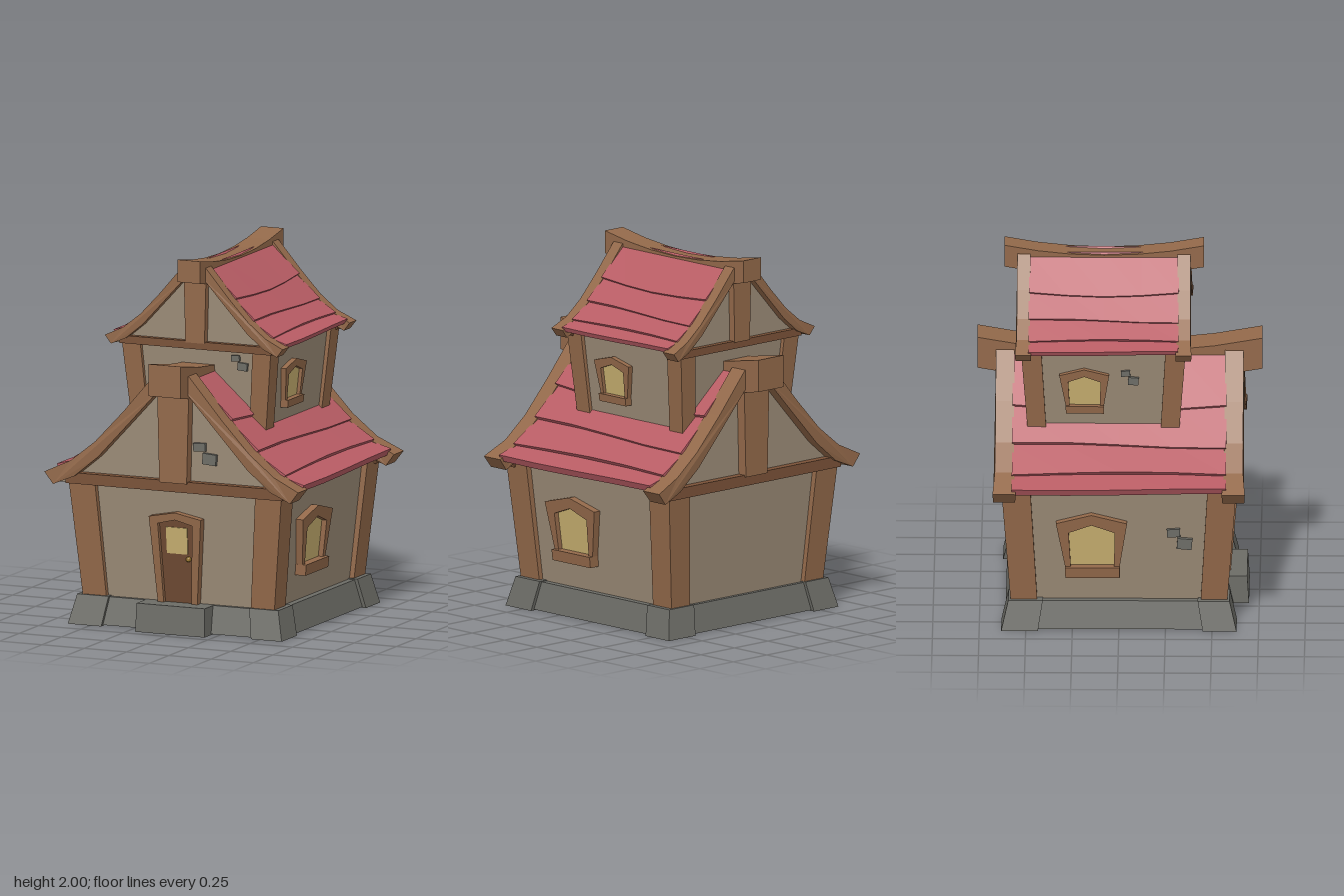
import * as THREE from 'three';

const mat = (color, side = THREE.FrontSide) => new THREE.MeshStandardMaterial({ color, side, flatShading: true });
const WOOD = mat(0x93694a), DARK = mat(0x7a5238), DOOR = mat(0x6e4a32), STONE = mat(0x6c6c66);
const PLASTER = mat(0x9a8a76, THREE.DoubleSide), TILE = mat(0xb85c64), GLASS = mat(0xc8b070), BRASS = mat(0xb08a3a);

function add(parent, name, geo, material) {
  const mesh = new THREE.Mesh(geo, material);
  mesh.name = name;
  parent.add(mesh);
  return mesh;
}

// Move every vertex by a rule
function warp(geo, rule) {
  const p = geo.attributes.position, v = new THREE.Vector3();
  for (let i = 0; i < p.count; i++) {
    rule(v.fromBufferAttribute(p, i));
    p.setXYZ(i, v.x, v.y, v.z);
  }
  geo.computeVertexNormals();
  return geo;
}

// Storeys narrow towards the ground
const lean = (geo) => warp(geo, (v) => {
  const t = Math.max(0, (0.77 - v.y) / 0.61);
  v.x *= 1 - 0.1 * t;
  v.z *= 1 - 0.075 * t;
});

// Box given by its two corners
function block(x0, x1, y0, y1, z0, z1) {
  return new THREE.BoxGeometry(x1 - x0, y1 - y0, z1 - z0)
    .translate((x0 + x1) / 2, (y0 + y1) / 2, (z0 + z1) / 2);
}

const toShape = (pts) => new THREE.Shape(pts.map(([x, y]) => new THREE.Vector2(x, y)));
const extrude = (shape, depth) => new THREE.ExtrudeGeometry(shape, { depth, bevelEnabled: false });
// Outline with a peaked top, wider above than below
const peaked = (wb, wt, y0, y1, peak) => [[-wb, y0], [wb, y0], [wt, y1], [0, peak], [-wt, y1]];
function peakedFrame(outer, inner, depth) {
  const s = toShape(outer);
  s.holes.push(toShape(inner));
  return extrude(s, depth);
}
const mirrored = (half) => [...half.map(([x, y]) => [-x, y]).reverse(), ...half];

// Curved gable profile, from the ridge to the eave
const OUTER = [[0.04, 1.44], [0.1, 1.41], [0.29, 1.19], [0.455, 1.015], [0.6, 0.9], [0.75, 0.83]];
const INNER = [[0.03, 1.37], [0.09, 1.31], [0.255, 1.13], [0.44, 0.93], [0.58, 0.815], [0.7, 0.765]];
const ROWS = [[0.06, 1.415], [0.295, 1.17], [0.455, 1.005], [0.6, 0.89], [0.715, 0.835]];

function roofRow(i) {
  const a = new THREE.Vector2(...ROWS[i]), b = new THREE.Vector2(...ROWS[i + 1]);
  const d = b.clone().sub(a), n = new THREE.Vector2(-d.y, d.x).normalize();
  return warp(new THREE.BoxGeometry(1, 1, 1.15, 1, 1, 4), (v) => {
    const u = v.x + 0.5;
    const wave = u * (0.05 + 0.07 * Math.cos(v.z * 3.5 + i * 1.7));
    const lift = v.y * 0.04 - 0.018 + u * 0.022;
    v.x = a.x + d.x * (u + wave) + n.x * lift;
    v.y = a.y + d.y * (u + wave) + n.y * lift;
  });
}

function sideWindow() {
  const g = new THREE.Group();
  g.name = 'sideWindow';
  const place = (geo, x) => lean(geo.rotateY(Math.PI / 2).translate(x, 0, 0.15));
  const pane = peaked(0.122, 0.127, 0.35, 0.56, 0.605);
  add(g, 'windowFrame', place(peakedFrame(peaked(0.148, 0.195, 0.32, 0.615, 0.665), pane, 0.055), 0.585), WOOD);
  add(g, 'windowPane', place(extrude(toShape(pane), 0.02), 0.59), GLASS);
  add(g, 'windowSill', lean(block(0.585, 0.665, 0.3, 0.36, -0.005, 0.305)), WOOD);
  return g;
}

function storey(name) {
  const g = new THREE.Group();
  g.name = name;

  // Open wall shell
  const walls = new THREE.CylinderGeometry(Math.SQRT2 * 0.6, Math.SQRT2 * 0.6, 0.73, 4, 1, true);
  add(g, 'walls', lean(walls.rotateY(Math.PI / 4).translate(0, 0.465, 0)), PLASTER);

  // Ridge beam, sagging in the middle
  const ridge = new THREE.BoxGeometry(0.19, 0.175, 1.53, 1, 1, 6);
  add(g, 'ridgeBeam', warp(ridge, (v) => { v.y += 1.315 + 0.08 * (v.z / 0.765) ** 2; }), WOOD);

  // Everything below repeats on the opposite side by a half turn
  for (const turn of [0, Math.PI]) {
    const half = new THREE.Group();
    half.name = turn ? 'backRightHalf' : 'frontLeftHalf';
    half.rotation.y = turn;
    g.add(half);

    for (const s of [-1, 1]) {
      const x = s * 0.5525;
      add(half, 'cornerPost', lean(block(x - 0.0775, x + 0.0775, 0.08, 0.8, 0.475, 0.63)), WOOD);
    }

    const gable = new THREE.ShapeGeometry(toShape([[-0.6, 0.77], [0.6, 0.77], ...mirrored(INNER).reverse()]));
    add(half, 'gableWall', gable.translate(0, 0, 0.6), PLASTER);
    add(half, 'gableBeam', block(-0.64, 0.64, 0.77, 0.83, 0.56, 0.645), DARK);
    add(half, 'kingPost', warp(block(-0.095, 0.095, 0.82, 1.38, 0.57, 0.655), (v) => {
      if (v.y < 1) v.x *= 0.85;
    }), WOOD);

    // Bargeboard with flared tips
    const board = extrude(toShape([...mirrored(OUTER), ...mirrored(INNER).reverse()]), 0.1);
    add(half, 'bargeboard', warp(board, (v) => {
      const flare = 1 + 0.25 * Math.max(0, (Math.abs(v.x) - 0.58) / 0.17);
      v.z = 0.615 + (v.z - 0.05) * flare;
    }), WOOD);

    for (let i = 0; i < ROWS.length - 1; i++) add(half, 'roofRow', roofRow(i), TILE);
    half.add(sideWindow());
  }
  return g;
}

// Two bare stones showing through the plaster
function bareStones(parent, x, y, z, turn, size) {
  const g = new THREE.Group();
  g.name = 'bareStones';
  add(g, 'stone', block(-0.07, 0, 0.01, 0.055, -0.02, 0.02).rotateZ(0.06), STONE);
  add(g, 'stone', block(-0.015, 0.065, -0.06, 0, -0.02, 0.02).rotateZ(-0.08), STONE);
  g.position.set(x, y, z);
  g.rotation.y = turn;
  g.scale.setScalar(size);
  parent.add(g);
}

function doorway() {
  const g = new THREE.Group();
  g.name = 'doorway';
  const opening = peaked(0.09, 0.105, 0.14, 0.59, 0.615);
  const frame = peakedFrame(peaked(0.128, 0.157, 0.12, 0.625, 0.655), opening, 0.06);
  add(g, 'doorFrame', lean(frame.translate(0, 0, 0.585)), WOOD);
  add(g, 'door', lean(extrude(toShape(opening), 0.03).translate(0, 0, 0.59)), DOOR);
  add(g, 'doorWindow', lean(block(-0.065, 0.065, 0.425, 0.57, 0.6, 0.626)), GLASS);
  add(g, 'doorKnob', new THREE.IcosahedronGeometry(0.015, 1).translate(0.067, 0.4, 0.6), BRASS);
  return g;
}

function foundation() {
  const g = new THREE.Group();
  g.name = 'foundation';
  const batter = (geo) => warp(geo, (v) => {
    const k = 1 - 0.06 * v.y / 0.16;
    v.x *= k;
    v.z *= k;
  });
  for (let i = 0; i < 4; i++) {
    const side = new THREE.Group();
    side.name = 'foundationSide';
    side.rotation.y = i * Math.PI / 2;
    add(side, 'foundationWall', batter(block(-0.5, 0.5, 0.005, 0.155, 0.53, 0.612)), STONE);
    add(side, 'cornerStone', batter(block(0.45, 0.632, 0, 0.16, 0.53, 0.632)), STONE);
    add(side, 'cornerStone', batter(block(-0.632, -0.435, 0, 0.16, 0.53, 0.632)), STONE);
    g.add(side);
  }
  add(g, 'doorStep', warp(block(-0.205, 0.205, 0, 0.155, 0.56, 0.695), (v) => {
    if (v.y > 0.1) { v.x *= 0.98; if (v.z > 0.6) v.z -= 0.01; }
  }), STONE);
  return g;
}

export function createModel() {
  const house = new THREE.Group();
  house.name = 'house';

  house.add(foundation(), storey('lowerStorey'), doorway());

  // The upper storey is a smaller copy set towards the back
  const upper = storey('upperStorey');
  upper.scale.setScalar(0.7);
  upper.position.set(0, 0.964, -0.085);
  house.add(upper);

  bareStones(house, 0.175, 0.99, 0.6, 0, 1);
  bareStones(house, 0.25, 1.445, 0.33, 0, 0.7);
  bareStones(house, -0.575, 0.52, 0.33, -Math.PI / 2, 1);
  bareStones(house, -0.41, 1.38, 0.06, -Math.PI / 2, 0.7);
  return house;
}
